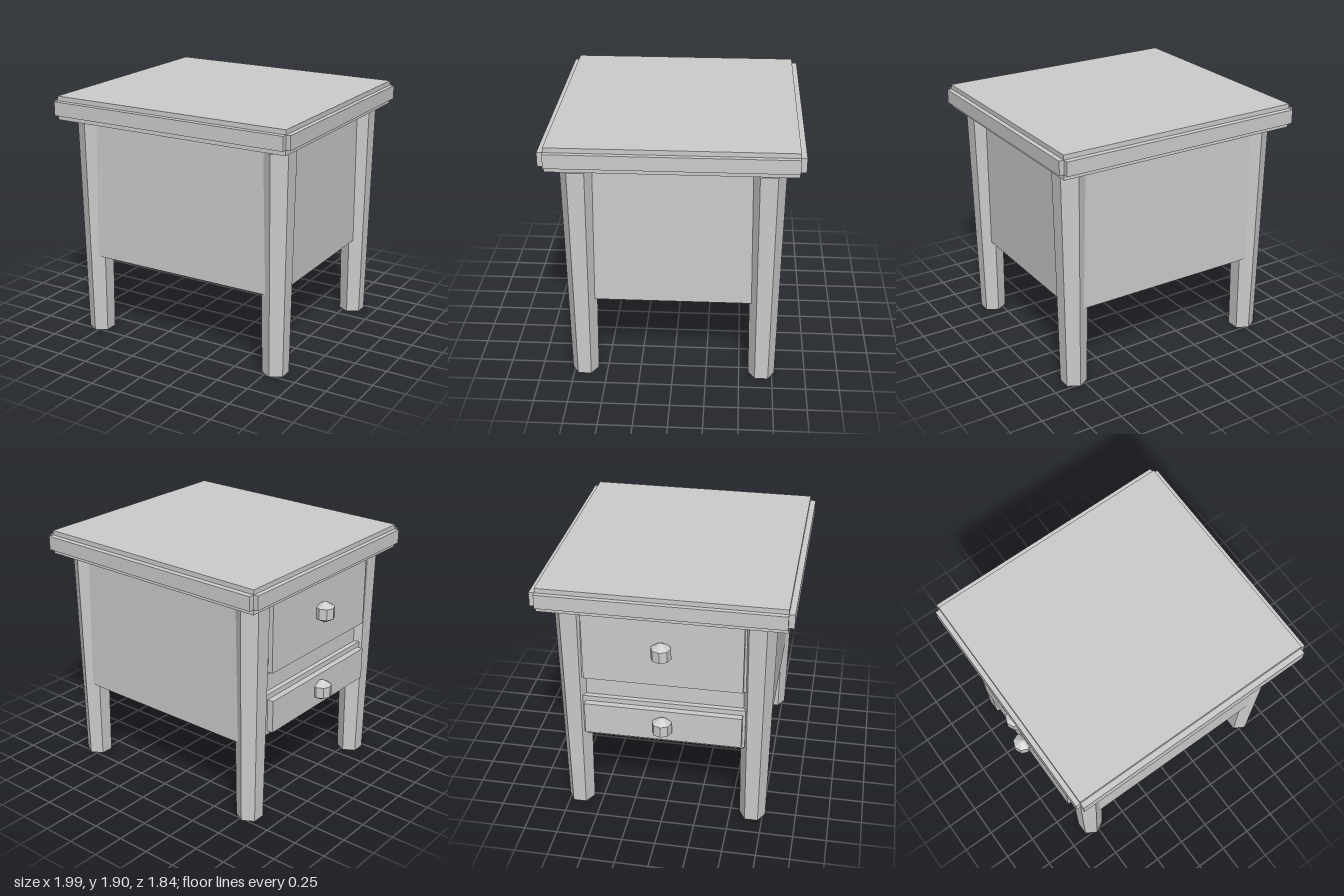
import * as THREE from 'three';

export function createModel() {
  const grey = new THREE.MeshStandardMaterial({ color: 0xcccccc });
  grey.name = 'lightGrey';
  grey.flatShading = true;

  const table = new THREE.Group();
  table.name = 'nightstand';

  const add = (name, geometry, x = 0, y = 0, z = 0) => {
    const mesh = new THREE.Mesh(geometry, grey);
    mesh.name = name;
    mesh.position.set(x, y, z);
    table.add(mesh);
    return mesh;
  };

  // Box given by its limits on each axis
  const box = (name, [x0, x1], [y0, y1], [z0, z1]) =>
    add(name, new THREE.BoxGeometry(x1 - x0, y1 - y0, z1 - z0),
      (x0 + x1) / 2, (y0 + y1) / 2, (z0 + z1) / 2);

  // Tabletop slab with a trim strip along each edge
  const slabX = [-0.95, 0.96], slabZ = [-0.876, 0.876], trimY = [1.76, 1.865];
  box('tabletop', slabX, [1.72, 1.9], slabZ);
  box('frontTrim', slabX, trimY, [0.876, 0.918]);
  box('backTrim', slabX, trimY, [-0.918, -0.876]);
  box('rightTrim', [-0.985, -0.95], trimY, slabZ);
  box('leftTrim', [0.96, 0.995], trimY, slabZ);

  // Cabinet
  box('cabinet', [-0.818, 0.829], [0.63, 1.72], [-0.75, 0.75]);

  // Tapered six-sided legs, partly sunk into the cabinet corners
  for (const [side, x] of [['Right', -0.775], ['Left', 0.8]]) {
    for (const [end, z] of [['front', 0.67], ['back', -0.67]]) {
      add(`${end}${side}Leg`, new THREE.CylinderGeometry(0.125, 0.099, 1.69, 6), x, 0.845, z);
    }
  }

  // Two drawers: backing panel, raised front and faceted knob
  const drawers = [
    { name: 'upper', panel: [1.15, 1.72], face: [1.165, 1.7], x: -0.892, knobY: 1.457 },
    { name: 'lower', panel: [0.67, 0.99], face: [0.7, 0.95], x: -0.904, knobY: 0.828 },
  ];
  for (const d of drawers) {
    box(`${d.name}DrawerPanel`, [-0.856, -0.81], d.panel, [-0.6, 0.6]);
    box(`${d.name}DrawerFront`, [d.x, -0.85], d.face, [-0.58, 0.58]);
    add(`${d.name}DrawerKnob`, new THREE.SphereGeometry(0.085, 8, 3), -0.925, d.knobY, 0);
  }

  return table;
}
